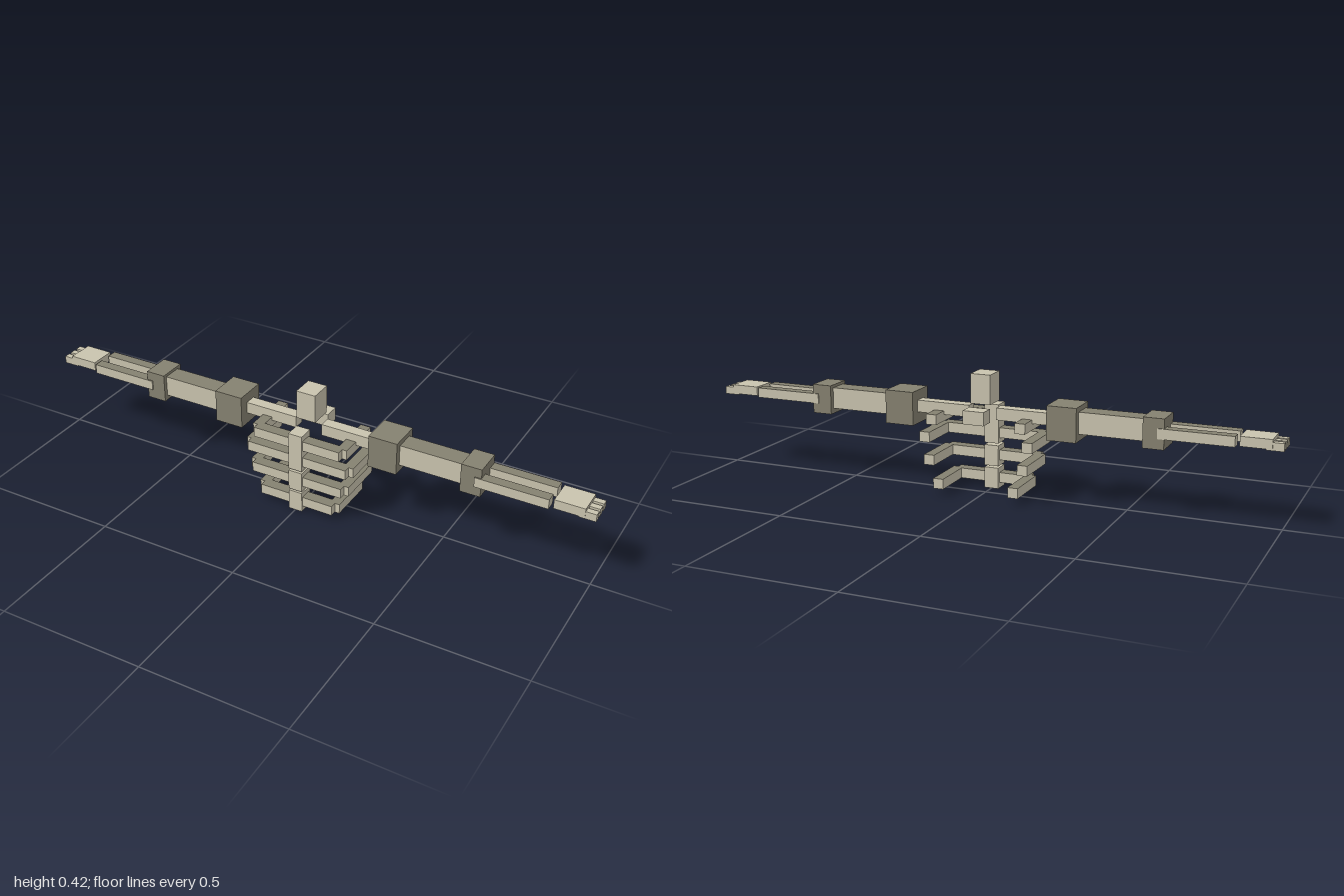
import * as THREE from 'three';

export function createModel() {
  const model = new THREE.Group();
  const bone = new THREE.MeshStandardMaterial({ color: 0xc9c3ae });
  bone.name = 'paleBone';
  const dark = new THREE.MeshStandardMaterial({ color: 0x858170 });
  dark.name = 'darkBone';
  // Face order: +x, -x, +y, -y, +z, -z
  const darkTop = [bone, bone, dark, bone, bone, bone];

  // Box given by its low and high limits on each axis
  function box(name, material, [x0, x1], [y0, y1], [z0, z1], parent = model) {
    const mesh = new THREE.Mesh(new THREE.BoxGeometry(x1 - x0, y1 - y0, z1 - z0), material);
    mesh.position.set((x0 + x1) / 2, (y0 + y1) / 2, (z0 + z1) / 2);
    mesh.name = name;
    parent.add(mesh);
  }
  // The same box on both sides of the body
  function pair(name, material, [x0, x1], y, z, parent = model) {
    box(name + 'Left', material, [x0, x1], y, z, parent);
    box(name + 'Right', material, [-x1, -x0], y, z, parent);
  }

  // Neck and the block behind it
  box('neck', bone, [-0.035, 0.035], [0.315, 0.416], [-0.046, 0.033]);
  box('spineBlock', bone, [-0.037, 0.037], [0.257, 0.303], [-0.104, -0.05]);

  // Breastbone in three pieces
  const pieces = [[0, 0.073], [0.08, 0.152], [0.16, 0.295]];
  pieces.forEach((y, i) => box('breastbone' + (i + 1), bone, [-0.025, 0.025], y, [0.049, 0.105]));

  // Ribs: a front bar with a bar running back at each end
  const ribs = new THREE.Group();
  ribs.name = 'ribs';
  model.add(ribs);
  const ribSizes = [[0.02, 0.153], [0.1, 0.186], [0.178, 0.202], [0.24, 0.177]];
  ribSizes.forEach(([y, half], i) => {
    const span = [y, y + 0.035];
    box('ribFront' + (i + 1), darkTop, [-half + 0.017, half - 0.017], span, [0.06, 0.1], ribs);
    pair('ribSide' + (i + 1), darkTop, [half - 0.036, half], span, [-0.091, 0.077], ribs);
  });

  // Arms
  pair('collarbone', bone, [0.049, 0.245], [0.262, 0.303], [-0.027, 0.014]);
  pair('shoulder', dark, [0.24, 0.342], [0.222, 0.337], [-0.064, 0.05]);
  pair('upperArm', darkTop, [0.338, 0.565], [0.247, 0.32], [-0.04, 0.028]);
  pair('elbow', dark, [0.56, 0.63], [0.229, 0.33], [-0.058, 0.043]);
  pair('forearmFront', darkTop, [0.608, 0.853], [0.264, 0.298], [0.012, 0.048]);
  pair('forearmBack', darkTop, [0.608, 0.853], [0.264, 0.298], [-0.062, -0.026]);
  pair('hand', bone, [0.865, 0.965], [0.266, 0.298], [-0.052, 0.039]);
  [-0.049, -0.0165, 0.016].forEach((z, i) =>
    pair('finger' + (i + 1), bone, [0.945, 1], [0.262, 0.288], [z, z + 0.0215]));

  return model;
}
